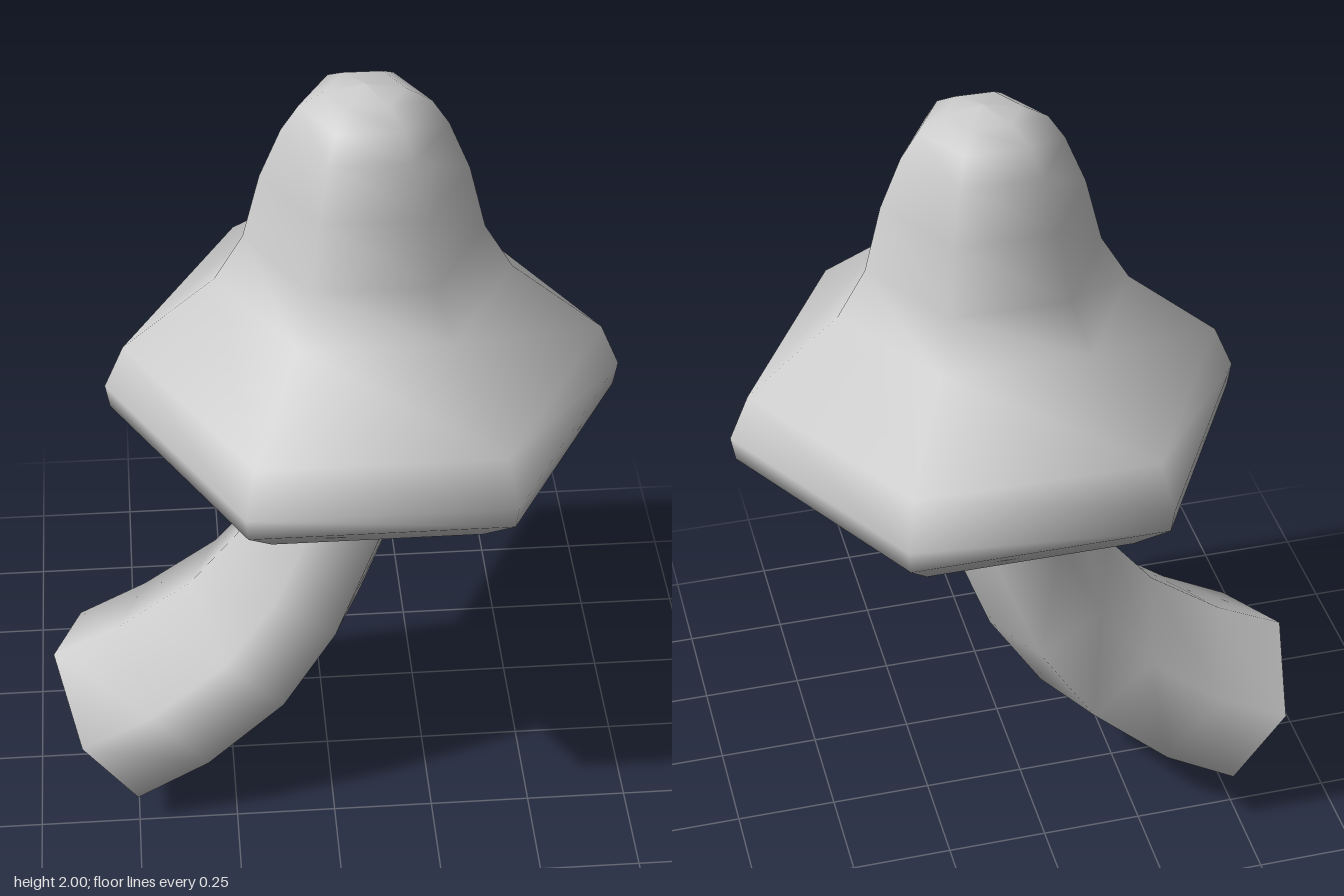
import * as THREE from 'three';

const SIDES = 6;
const material = new THREE.MeshStandardMaterial({ color: 0xcccccc });

// Six-sided bell cap, open underneath around the stem; [radius, height]
function createCap() {
  const profile = [
    [0.285, 1.01], [0.49, 1.04], [0.605, 1.14], [0.615, 1.2], [0.568, 1.31],
    [0.348, 1.495], [0.28, 1.61], [0.24, 1.77], [0.19, 1.89], [0.15, 1.95],
    [0.09, 1.985], [0, 2],
  ].map(([r, y]) => new THREE.Vector2(r, y));
  const cap = new THREE.Mesh(new THREE.LatheGeometry(profile, SIDES, Math.PI / 2), material);
  cap.name = 'cap';
  cap.position.x = 0.085;
  return cap;
}

// Cross-sections of the bent stem: inner edge x, y, outer edge x, y, z half-width
const sections = [
  [-0.70, 0.355, -0.435, 0.0, 0.26],
  [-0.53, 0.44, -0.25, 0.115, 0.26],
  [-0.345, 0.575, -0.055, 0.30, 0.245],
  [-0.225, 0.725, 0.08, 0.52, 0.22],
  [-0.13, 0.93, 0.193, 0.835, 0.2],
  [-0.09, 1.2, 0.235, 1.17, 0.187],
];

function ringPoints([lx, ly, rx, ry, half]) {
  const points = [];
  for (let i = 0; i < SIDES; i++) {
    const a = (i / SIDES) * Math.PI * 2;
    const t = (1 + Math.cos(a)) / 2;
    points.push(lx + (rx - lx) * t, ly + (ry - ly) * t, (half / Math.sin(Math.PI / 3)) * Math.sin(a));
  }
  return points;
}

function indexedMesh(name, positions, indices) {
  const geometry = new THREE.BufferGeometry();
  geometry.setAttribute('position', new THREE.Float32BufferAttribute(positions, 3));
  geometry.setIndex(indices);
  geometry.computeVertexNormals();
  const mesh = new THREE.Mesh(geometry, material);
  mesh.name = name;
  return mesh;
}

// Smooth side wall lofted through the sections
function createStem() {
  const indices = [];
  for (let s = 0; s < sections.length - 1; s++) {
    for (let i = 0; i < SIDES; i++) {
      const a = s * SIDES + i;
      const b = s * SIDES + ((i + 1) % SIDES);
      indices.push(a, a + SIDES, b, b, a + SIDES, b + SIDES);
    }
  }
  return indexedMesh('stem', sections.flatMap(ringPoints), indices);
}

// Flat cut end at the foot of the stem
function createStemEnd() {
  const indices = [];
  for (let i = 1; i < SIDES - 1; i++) indices.push(0, i, i + 1);
  return indexedMesh('stemEnd', ringPoints(sections[0]), indices);
}

export function createModel() {
  const group = new THREE.Group();
  group.name = 'mushroom';
  group.add(createCap(), createStem(), createStemEnd());
  return group;
}
